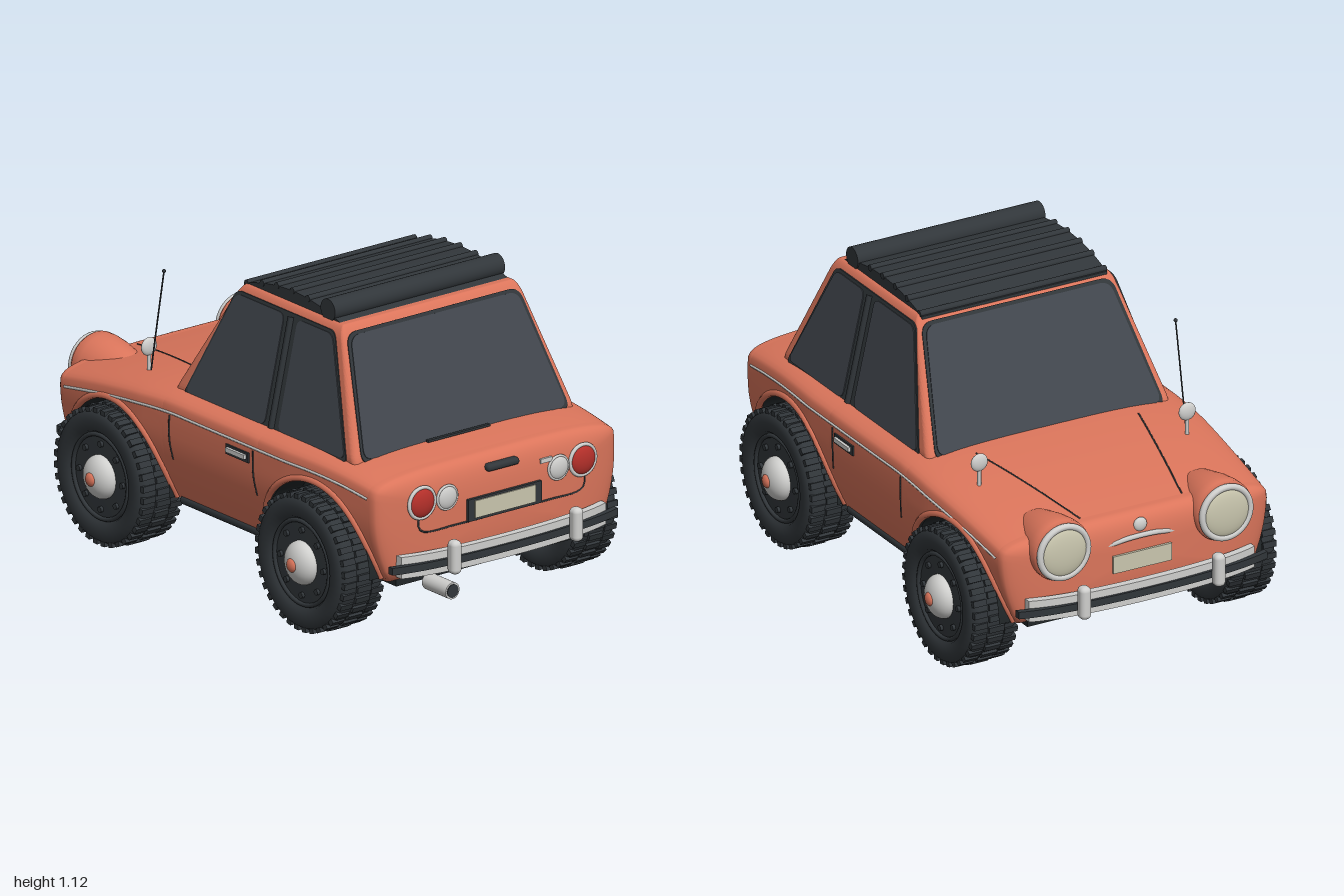
import * as THREE from 'three';
import { RoundedBoxGeometry } from 'three/addons/geometries/RoundedBoxGeometry.js';

const V = (x, y, z) => new THREE.Vector3(x, y, z);
const mat = (name, color, side = THREE.FrontSide) => {
  const m = new THREE.MeshStandardMaterial({ color, side });
  m.name = name;
  return m;
};

// Body rules: crown height, shoulder height, half width, side curve
const FLOOR = 0.24, MID = 0.42, END = 0.84, N = 3.5, ARCH_R = 0.287;
const ARCHES = [{ z: 0.545, y: 0.25 }, { z: -0.55, y: 0.24 }];
const crown = z => z < -0.2 ? 0.65 - 0.085 * ((-0.2 - z) / 0.64) ** 1.5
  : 0.65 - (z > 0.5 ? 0.025 * ((z - 0.5) / 0.34) ** 2 : 0);
const shoulder = z => crown(z) - 0.08;
const halfWidth = z => 0.552 - 0.025 * Math.max(0, Math.abs(z) - 0.4) / 0.44;
const sideX = (y, z) => halfWidth(z) * (1 - (y < 0.5 ? 0.13 * ((0.5 - y) / 0.27) ** 2 : 0));
const topY = (x, z) => shoulder(z) + 0.08 * (1 - Math.abs(x / halfWidth(z)) ** N) ** (1 / N);

// Cross-section from the lower right edge over the top to the lower left edge
function section(z, yb) {
  const half = [], ys = shoulder(z);
  for (let i = 0; i <= 8; i++) {
    const y = yb + (ys - yb) * i / 8;
    half.push([sideX(y, z), y]);
  }
  for (let i = 1; i <= 12; i++) {
    const a = i / 12 * Math.PI / 2;
    half.push([halfWidth(z) * Math.max(0, Math.cos(a)) ** (2 / N), ys + 0.08 * Math.sin(a) ** (2 / N)]);
  }
  return half.concat(half.slice(0, -1).reverse().map(([x, y]) => [-x, y]));
}

function bodyGeometry() {
  const rings = [];
  const cap = (dir, k) => {
    const a = k / 14 * Math.PI / 2, s = Math.max(0, Math.cos(a)) ** (2 / 3), z = dir * (END + 0.07 * Math.sin(a) ** (2 / 3));
    rings.push({ cap: true, pts: section(dir * END, FLOOR).map(([x, y]) => [x * s, MID + (y - MID) * s, z]) });
  };
  const station = (z, yb) => rings.push({ pts: section(z, yb).map(([x, y]) => [x, y, z]) });
  for (let k = 14; k >= 0; k--) cap(1, k);
  ARCHES.forEach((c, n) => {
    station(c.z + ARCH_R, FLOOR);
    for (let i = 0; i <= 32; i++) {
      const a = i / 32 * Math.PI;
      station(c.z + ARCH_R * Math.cos(a), c.y + ARCH_R * Math.sin(a));
    }
    station(c.z - ARCH_R, FLOOR);
    if (n === 0) for (let i = 1; i < 10; i++) station(0.258 - 0.521 * i / 10, FLOOR);
  });
  for (let k = 0; k <= 14; k++) cap(-1, k);
  const m = rings[0].pts.length, pos = rings.flatMap(r => r.pts.flat()), idx = [];
  for (let i = 0; i < rings.length - 1; i++) {
    const closed = rings[i].cap && rings[i + 1].cap;
    for (let j = 0; j < (closed ? m : m - 1); j++) {
      const a = i * m + j, b = i * m + (j + 1) % m;
      idx.push(a, a + m, b, b, a + m, b + m);
    }
  }
  const g = new THREE.BufferGeometry();
  g.setAttribute('position', new THREE.Float32BufferAttribute(pos, 3));
  g.setIndex(idx);
  g.computeVertexNormals();
  return g;
}

export function createModel() {
  const car = new THREE.Group();
  car.name = 'car';
  const paint = mat('coral paint', 0xdb755b, THREE.DoubleSide), glass = mat('dark glass', 0x41464d);
  const rubber = mat('black rubber', 0x31363a), under = mat('underbody black', 0x212628, THREE.DoubleSide);
  const chrome = mat('chrome', 0xcfcfcd), cream = mat('cream', 0xc9c6ae), red = mat('red lens', 0xb5302a);

  const add = (name, geo, m, p = [0, 0, 0], parent = car) => {
    const mesh = new THREE.Mesh(geo, m);
    mesh.name = name;
    mesh.position.set(...p);
    parent.add(mesh);
    return mesh;
  };
  const box = (name, w, h, d, m, p, parent) => add(name, new THREE.BoxGeometry(w, h, d), m, p, parent);
  const cyl = (r, len, axis, n = 28) => {
    const g = new THREE.CylinderGeometry(r, r, len, n);
    return axis === 'x' ? g.rotateZ(-Math.PI / 2) : axis === 'z' ? g.rotateX(Math.PI / 2) : g;
  };
  const tube = (name, pts, r, m, parent) =>
    add(name, new THREE.TubeGeometry(new THREE.CatmullRomCurve3(pts), pts.length * 5, r, 6), m, [0, 0, 0], parent);
  // Rounded flat panel through four corners, counter-clockwise from outside
  const panel = (name, c, r, m, lift) => {
    const u = c[1].clone().sub(c[0]).normalize();
    const n = u.clone().cross(c[3].clone().sub(c[0])).normalize(), v = n.clone().cross(u);
    const q = c.map(p => { const d = p.clone().sub(c[0]); return new THREE.Vector2(d.dot(u), d.dot(v)); });
    const s = new THREE.Shape();
    q.forEach((p, i) => {
      const a = q[(i + 3) % 4].clone().sub(p).setLength(r).add(p), b = q[(i + 1) % 4].clone().sub(p).setLength(r).add(p);
      i ? s.lineTo(a.x, a.y) : s.moveTo(a.x, a.y);
      s.quadraticCurveTo(p.x, p.y, b.x, b.y);
    });
    const g = new THREE.ExtrudeGeometry(s, { depth: 0.006, bevelEnabled: false });
    g.applyMatrix4(new THREE.Matrix4().makeBasis(u, v, n).setPosition(c[0].clone().addScaledVector(n, lift)));
    add(name, g, m);
  };

  // Shell and underside
  add('bodyShell', bodyGeometry(), paint);
  box('innerBody', 0.8, 0.29, 1.64, under, [0, 0.355, 0]);
  box('floor', 0.82, 0.03, 1.68, under, [0, 0.222, 0]);
  box('middleFloor', 0.95, 0.03, 0.52, under, [0, 0.24, 0]);

  // Tapered cabin
  const cabin = new RoundedBoxGeometry(2, 0.45, 2, 5, 0.05), cp = cabin.attributes.position;
  const cabX = y => 0.487 - 0.102 * (y - 0.6) / 0.45;
  const backZ = y => 0.715 - 0.205 * (y - 0.6) / 0.45, frontZ = y => -0.305 + 0.26 * (y - 0.6) / 0.45;
  for (let i = 0; i < cp.count; i++) {
    const y = cp.getY(i) + 0.825, b = backZ(y), f = frontZ(y);
    cp.setXYZ(i, cp.getX(i) * cabX(y), y, (b + f) / 2 + cp.getZ(i) * (b - f) / 2);
  }
  cabin.computeVertexNormals();
  add('cabin', cabin, paint);

  // Windows
  const lo = 0.63, hi = 1.015;
  for (const [m, w, r, lift] of [[rubber, 0.012, 0.045, -0.003], [glass, 0, 0.04, 0]]) {
    const l = lo - w, h = hi + w, n = m === glass ? 'Glass' : 'Seal', bx = 0.442 + w, tx = 0.362 + w;
    panel('rear' + n, [V(-bx, l, backZ(l)), V(bx, l, backZ(l)), V(tx, h, backZ(h)), V(-tx, h, backZ(h))], r, m, lift);
    panel('windscreen' + n, [V(bx, l, frontZ(l)), V(-bx, l, frontZ(l)), V(-tx, h, frontZ(h)), V(tx, h, frontZ(h))], r, m, lift);
    const panes = m === glass ? [[0.65, 0.285, 0.475], [0.212, -0.22, 0.212, -0.05]] : [[0.662, -0.235, 0.482, -0.055]];
    for (const [z0, z1, z2, z3 = z1] of panes) {
      const c = [V(cabX(l), l, z0), V(cabX(l), l, z1), V(cabX(h), h, z3), V(cabX(h), h, z2)];
      panel('leftSide' + n, c, 0.03, m, lift);
      panel('rightSide' + n, [1, 0, 3, 2].map(i => V(-c[i].x, c[i].y, c[i].z)), 0.03, m, lift);
    }
  }
  for (const s of [-1, 1]) {
    const p = [V(s * (cabX(lo) + 0.002), lo, 0.248), V(s * (cabX(hi) + 0.002), hi, 0.248)];
    tube('doorPillar', p, 0.014, rubber);
  }

  // Folding canvas roof with ribs and a rolled rear end
  const roofY = z => 1.045 + 0.047 * (1 - ((z - 0.22) / 0.27) ** 2);
  const roof = new THREE.Shape();
  roof.moveTo(0.05, 1.03);
  for (let i = 0; i <= 16; i++) { const z = -0.05 + 0.54 * i / 16; roof.lineTo(-z, roofY(z)); }
  roof.lineTo(-0.49, 1.03);
  add('canvasRoof', new THREE.ExtrudeGeometry(roof, { depth: 0.73, bevelEnabled: false }).rotateY(Math.PI / 2), rubber, [-0.365, 0, 0]);
  for (const z of [-0.035, 0.05, 0.13, 0.215, 0.3]) add('roofRib', cyl(0.012, 0.735, 'x', 10), rubber, [0, roofY(z), z]);
  add('canvasRoll', cyl(0.04, 0.74, 'x'), rubber, [0, 1.08, 0.415]);

  // Wheels
  const P = (x, y) => new THREE.Vector2(x, y);
  const tyre = new THREE.LatheGeometry([P(0, -0.05), P(0.15, -0.05), P(0.16, -0.085), P(0.2, -0.095), P(0.228, -0.088), P(0.241, -0.068),
    P(0.241, 0.068), P(0.228, 0.088), P(0.2, 0.095), P(0.165, 0.088), P(0.155, 0.07), P(0.145, 0.074), P(0, 0.074)], 48).rotateZ(-Math.PI / 2);
  const buildWheel = (s, z) => {
    const w = new THREE.Group();
    w.name = 'wheel';
    w.position.set(s * 0.508, 0.25, z);
    if (s < 0) w.rotation.y = Math.PI;
    car.add(w);
    add('tyre', tyre, rubber, [0, 0, 0], w);
    for (let i = 0; i < 36; i++) for (const row of [-1, 0, 1]) {
      const a = (i + (row ? 0.5 : 0)) / 36 * Math.PI * 2, r = row ? 0.238 : 0.242;
      const b = box('tread', row ? 0.052 : 0.06, 0.017, 0.022, rubber, [row * 0.061, r * Math.cos(a), r * Math.sin(a)], w);
      b.rotation.x = a;
    }
    add('rimRing', new THREE.TorusGeometry(0.15, 0.008, 8, 40).rotateY(Math.PI / 2), rubber, [0.078, 0, 0], w);
    for (let i = 0; i < 8; i++) {
      const a = i / 8 * Math.PI * 2;
      add('bolt', cyl(0.011, 0.014, 'x', 8), rubber, [0.078, 0.118 * Math.cos(a), 0.118 * Math.sin(a)], w);
    }
    add('hubcap', new THREE.SphereGeometry(0.078, 28, 16).scale(0.65, 1, 1), chrome, [0.077, 0, 0], w);
    add('hubCentre', new THREE.SphereGeometry(0.025, 16, 10).scale(0.6, 1, 1), paint, [0.122, 0, 0], w);
  };

  for (const s of [-1, 1]) {
    ARCHES.forEach((c, n) => {
      buildWheel(s, n ? -0.557 : 0.545);
      const liner = new THREE.CylinderGeometry(ARCH_R, ARCH_R, 0.13, 32, 1, true, 0, Math.PI).rotateZ(Math.PI / 2);
      add('wheelLiner', liner, under, [s * 0.455, c.y, c.z]);
      const lip = [];
      for (let i = 0; i <= 16; i++) {
        const a = i / 16 * Math.PI, y = c.y + ARCH_R * Math.sin(a), z = c.z + ARCH_R * Math.cos(a);
        lip.push(V(s * (sideX(y, z) - 0.001), y, z));
      }
      tube('archLip', lip, 0.012, paint);
    });

    // Side trim, sill, door seams and handle
    const trim = [];
    for (let i = 0; i <= 16; i++) { const z = 0.83 - 1.66 * i / 16; trim.push(V(s * halfWidth(z), shoulder(z), z)); }
    tube('sideTrim', trim, 0.005, chrome);
    add('sill', cyl(0.018, 0.47, 'z', 12), rubber, [s * 0.478, 0.236, 0]);
    for (const z of [0.235, -0.225])
      tube('doorSeam', [0.4, 0.47, 0.56].map(y => V(s * sideX(y, z), y, z + (y < 0.45 ? 0.01 : 0))), 0.0035, rubber);
    box('handleRecess', 0.012, 0.036, 0.125, rubber, [s * 0.552, 0.528, 0.152]);
    box('doorHandle', 0.02, 0.016, 0.1, chrome, [s * 0.558, 0.53, 0.152]);

    // Bonnet seam and wing mirror
    const seam = [];
    for (let i = 0; i <= 8; i++) { const z = -0.34 - 0.5 * i / 8, x = s * (0.32 - 0.12 * i / 8); seam.push(V(x, topY(x, z), z)); }
    tube('bonnetSeam', seam, 0.003, rubber);
    add('mirrorStem', cyl(0.007, 0.09, 'y', 10), chrome, [s * 0.41, 0.645, -0.515]);
    add('mirror', new THREE.SphereGeometry(0.033, 20, 12).scale(1, 1, 0.4), chrome, [s * 0.41, 0.695, -0.515]);

    // Headlight pods
    const pod = new THREE.LatheGeometry([P(0, 0.6), P(0.05, 0.66), P(0.085, 0.74), P(0.105, 0.83), P(0.111, 0.88), P(0.111, 0.915), P(0.1, 0.932), P(0, 0.932)], 36);
    add('headlightPod', pod.rotateX(-Math.PI / 2), paint, [s * 0.32, 0.505, 0]);
    add('headlightRing', new THREE.TorusGeometry(0.094, 0.012, 10, 36), chrome, [s * 0.32, 0.505, -0.934]);
    add('headlightLens', new THREE.SphereGeometry(0.09, 28, 14).scale(1, 1, 0.22), cream, [s * 0.32, 0.505, -0.934]);

    // Tail lights
    add('tailLightRing', new THREE.TorusGeometry(0.055, 0.007, 8, 32), chrome, [s * 0.35, 0.515, 0.905]);
    add('tailLight', new THREE.SphereGeometry(0.054, 24, 14).scale(1, 1, 0.42), red, [s * 0.35, 0.515, 0.902]);
    add('reverseLight', new THREE.SphereGeometry(0.044, 24, 14).scale(1, 1, 0.4), chrome, [s * 0.242, 0.512, 0.904]);
    add('reverseLightRing', new THREE.TorusGeometry(0.042, 0.005, 8, 28), chrome, [s * 0.242, 0.512, 0.908]);
    tube('bootSeam', [V(s * 0.34, 0.59, 0.885), V(s * 0.355, 0.5, 0.9), V(s * 0.36, 0.425, 0.901),
      V(s * 0.34, 0.407, 0.902), V(s * 0.2, 0.405, 0.909), V(0, 0.405, 0.91)], 0.0035, rubber);
  }

  // Bumpers
  const band = (w, z, thick, h) => {
    const s = new THREE.Shape();
    s.moveTo(-w, z - 0.05);
    s.quadraticCurveTo(-w * 0.7, z, 0, z);
    s.quadraticCurveTo(w * 0.7, z, w, z - 0.05);
    s.lineTo(w, z - 0.05 - thick);
    s.quadraticCurveTo(w * 0.7, z - thick, 0, z - thick);
    s.quadraticCurveTo(-w * 0.7, z - thick, -w, z - 0.05 - thick);
    return new THREE.ExtrudeGeometry(s, { depth: h, bevelEnabled: false, curveSegments: 16 }).rotateX(Math.PI / 2);
  };
  for (const turn of [0, Math.PI]) {
    const b = new THREE.Group();
    b.name = turn ? 'headBumper' : 'tailBumper';
    b.rotation.y = turn;
    car.add(b);
    add('bumperBar', band(0.445, 0.962, 0.028, 0.078), chrome, [0, 0.34, 0], b);
    add('bumperStrip', band(0.49, 0.971, 0.022, 0.026), rubber, [0, 0.313, 0], b);
    for (const x of [-0.265, 0.265]) add('overrider', new RoundedBoxGeometry(0.042, 0.122, 0.046, 4, 0.018), chrome, [x, 0.321, 0.977], b);
  }

  // Tail fittings
  box('tailPlateFrame', 0.32, 0.08, 0.02, rubber, [0, 0.446, 0.91]);
  box('tailPlate', 0.265, 0.062, 0.008, cream, [0, 0.447, 0.92]);
  add('bootHandle', new RoundedBoxGeometry(0.14, 0.026, 0.04, 3, 0.012), rubber, [0, 0.577, 0.898]);
  box('plateLamp', 0.05, 0.016, 0.02, chrome, [0.19, 0.55, 0.9]);
  box('ventSlit', 0.27, 0.008, 0.012, rubber, [-0.045, 0.648, 0.72]);
  add('exhaust', cyl(0.03, 0.13, 'z'), chrome, [-0.268, 0.196, 0.905]);
  add('exhaustBore', cyl(0.024, 0.006, 'z'), rubber, [-0.268, 0.196, 0.97]);

  // Nose fittings
  box('nosePlate', 0.23, 0.064, 0.012, cream, [0, 0.4, -0.913]);
  tube('noseTrim', [V(-0.13, 0.47, -0.9), V(-0.05, 0.485, -0.912), V(0.05, 0.485, -0.912), V(0.13, 0.47, -0.9)], 0.009, chrome);
  add('noseBadge', new THREE.SphereGeometry(0.026, 20, 12).scale(1, 1, 0.5), chrome, [0, 0.522, -0.9]);

  // Aerial
  tube('aerial', [V(-0.42, 0.62, -0.49), V(-0.42, 0.81, -0.455), V(-0.42, 0.995, -0.42)], 0.003, rubber);
  add('aerialTip', new THREE.SphereGeometry(0.007, 10, 8), rubber, [-0.42, 0.997, -0.42]);
  return car;
}
